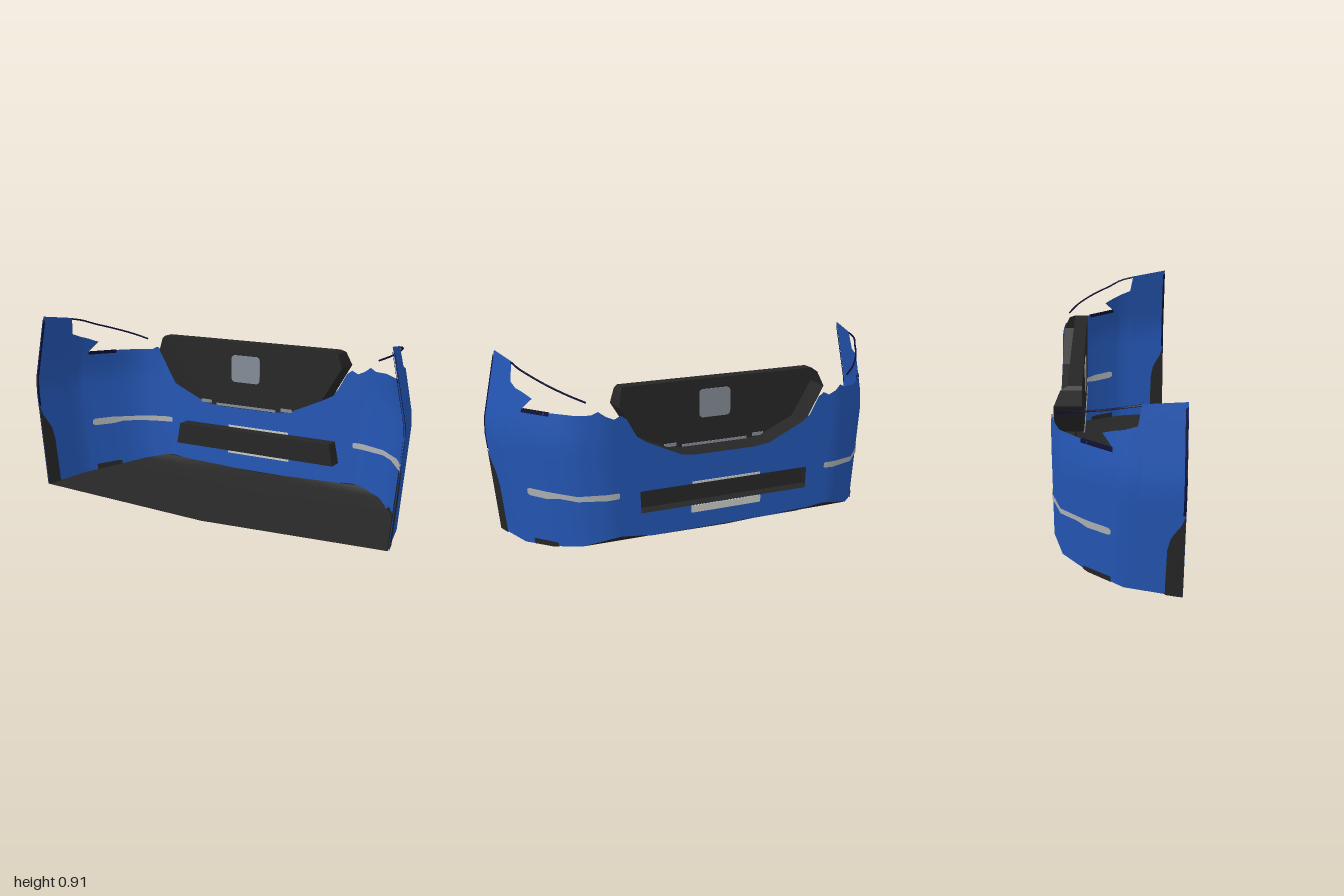
import * as THREE from 'three';

const mat = (name, color) => {
  const m = new THREE.MeshStandardMaterial({ color, side: THREE.DoubleSide });
  m.name = name;
  return m;
};

// Piecewise linear lookup in a list of [key, value], keys ascending
function lerpTable(t, k) {
  if (k <= t[0][0]) return t[0][1];
  for (let i = 1; i < t.length; i++) {
    if (k <= t[i][0]) {
      const f = (k - t[i - 1][0]) / (t[i][0] - t[i - 1][0]);
      return t[i - 1][1] + f * (t[i][1] - t[i - 1][1]);
    }
  }
  return t[t.length - 1][1];
}

// Plan curve (x to z), side bulge (y to x scale) and lower edge (x to y)
const PLAN = [[0, -0.277], [0.6, -0.277], [0.73, -0.235], [0.84, -0.12], [0.94, 0.03], [1, 0.277]];
const BULGE = [[0.04, 0.945], [0.57, 1], [0.92, 0.93]];
const BOTTOM = [[0, 0.105], [0.4, 0.105], [0.55, 0.125], [0.6, 0.12], [0.73, 0.09], [0.84, 0.065], [1, 0.037]];

// Point on the bumper skin, pushed outwards by off
function skin(x, y, side, off = 0) {
  const e = 0.01;
  const dz = lerpTable(PLAN, Math.min(1, x + e)) - lerpTable(PLAN, x - e);
  const dx = Math.min(1, x + e) - (x - e);
  const l = Math.hypot(dx, dz);
  const px = x * lerpTable(BULGE, y) + off * dz / l;
  return new THREE.Vector3(side * px, y, lerpTable(PLAN, x) - off * dx / l);
}

// Surface from rows of equally many points
function gridGeometry(rows) {
  const pos = [], idx = [], n = rows[0].length;
  rows.forEach(r => r.forEach(p => pos.push(p.x, p.y, p.z)));
  for (let i = 0; i < rows.length - 1; i++) {
    for (let j = 0; j < n - 1; j++) {
      const a = i * n + j, b = a + n;
      idx.push(a, b, a + 1, b, b + 1, a + 1);
    }
  }
  const g = new THREE.BufferGeometry();
  g.setAttribute('position', new THREE.Float32BufferAttribute(pos, 3));
  g.setIndex(idx);
  g.computeVertexNormals();
  return g;
}

export function createModel() {
  const root = new THREE.Group();
  root.name = 'frontBumper';
  const blue = mat('bodyBlue', 0x2456b4);
  const navy = mat('edgeNavy', 0x0c0c34);
  const dark = mat('darkPlastic', 0x262626);
  const silver = mat('badgeGrey', 0x858c96);
  const grey = mat('lampGrey', 0xaeb2b4);
  const pale = mat('plateWhite', 0xcacac4);

  const add = (name, geo, m) => {
    const mesh = new THREE.Mesh(geo, m);
    mesh.name = name;
    root.add(mesh);
    return mesh;
  };
  // Piece of skin between columns [x, lowY, highY]
  const panel = (name, m, cols, side, off = 0, steps = 12) =>
    add(name, gridGeometry(cols.map(([x, lo, hi]) =>
      Array.from({ length: steps + 1 }, (_, i) => skin(x, lo + (hi - lo) * i / steps, side, off)))), m);
  // Thin detail seen on both faces of the skin
  const decal = (name, m, cols, side) =>
    [-0.004, 0.004].forEach(off => panel(name, m, cols, side, off, 6));

  const low = x => lerpTable(BOTTOM, x);
  for (const side of [1, -1]) {
    // Painted skin, lowered at the lamp opening and around the grille
    const sideTop = [[1, 0.917], [0.957, 0.893], [0.953, 0.805], [0.94, 0.785], [0.92, 0.775], [0.911, 0.7],
      [0.84, 0.7], [0.785, 0.7], [0.73, 0.7], [0.665, 0.7], [0.635, 0.715], [0.6, 0.692], [0.56, 0.675],
      [0.53, 0.69], [0.5, 0.67], [0.444, 0.585]];
    panel('sideSkin', blue, sideTop.map(([x, t]) => [x, low(x), t]), side);
    const midX = [0.444, 0.4, 0.23, 0.15, 0];
    const midTop = [0.585, 0.555, 0.475, 0.465, 0.465];
    panel('upperCentreSkin', blue, midX.map((x, i) => [x, 0.325, midTop[i]]), side);
    panel('lowerCentreSkin', blue, midX.map(x => [x, low(x), 0.22]), side);
    panel('lampTab', blue, [[0.92, 0.7, 0.775], [0.911, 0.7, 0.77], [0.883, 0.75, 0.751]], side, 0, 2);

    // Thin bar over the lamp opening
    const bar = [[0.957, 0.888], [0.94, 0.873], [0.9, 0.85], [0.84, 0.82], [0.76, 0.785], [0.69, 0.757]];
    const path = new THREE.CatmullRomCurve3(bar.map(([x, y]) => skin(x, y, side)));
    add('lampBar', new THREE.TubeGeometry(path, 16, 0.0045, 5), navy);

    // Edge trim, wheel arch lining and lamp strips
    decal('lampEdge', navy, [[0.911, 0.685, 0.702], [0.82, 0.685, 0.702]], side);
    decal('rearEdge', navy, [[1, 0.45, 0.9], [0.9975, 0.45, 0.89]], side);
    decal('archLining', dark, [[1, 0.037, 0.45], [0.996, 0.037, 0.4], [0.99, 0.037, 0.36],
      [0.986, 0.038, 0.33], [0.983, 0.038, 0.27], [0.982, 0.04, 0.05]], side);
    decal('lowerLip', dark, [[0.905, 0.055, 0.083], [0.84, 0.065, 0.09], [0.82, 0.07, 0.088]], side);
    decal('lampStrip', grey, [[0.905, 0.304, 0.325], [0.897, 0.297, 0.333], [0.84, 0.298, 0.334],
      [0.8, 0.308, 0.332], [0.73, 0.305, 0.33], [0.6, 0.305, 0.334], [0.55, 0.307, 0.334],
      [0.545, 0.312, 0.33]], side);
  }

  // Undertray, rising to the nose and dipping at the middle
  const trayX = [1, 0.94, 0.84, 0.73, 0.6];
  const trayMid = [[-0.277, 0.1], [-0.12, 0.05], [0.277, 0.003]];
  const tray = trayX.map(x => {
    const edge = skin(x, low(x), 1);
    const mid = lerpTable(trayMid, edge.z);
    return Array.from({ length: 13 }, (_, i) => {
      const t = i / 6 - 1;
      return new THREE.Vector3(t * edge.x, mid + (edge.y - mid) * Math.abs(t), edge.z);
    });
  });
  add('undertray', gridGeometry(tray), dark);
  // Small lip joining the undertray to the raised lower edge of the nose
  const lip = [-0.6, -0.55, -0.4, 0, 0.4, 0.55, 0.6].map(x => {
    const p = skin(Math.abs(x), low(Math.abs(x)), Math.sign(x) || 1);
    const q = p.clone();
    q.y = 0.1 + 0.02 * Math.abs(x) / 0.6;
    return [p, q];
  });
  add('noseLip', gridGeometry(lip), dark);

  // Open tray let into the skin: walls from the rim to a back plate
  const recess = (name, outline, rimZ, plateZ) => {
    outline.forEach(([x, y], i) => {
      const [u, v] = outline[(i + 1) % outline.length];
      const V = (a, b, c) => new THREE.Vector3(a, b, c);
      add(name + 'Wall', gridGeometry([
        [V(x, y, rimZ(y)), V(x, y, plateZ)], [V(u, v, rimZ(v)), V(u, v, plateZ)]]), dark);
    });
    const shape = new THREE.Shape(outline.map(([x, y]) => new THREE.Vector2(x, y)));
    add(name + 'Plate', new THREE.ShapeGeometry(shape).translate(0, 0, plateZ), dark);
  };
  const mirrored = half => [...half, ...half.map(([x, y]) => [-x, y]).reverse()];
  recess('grille', mirrored([[0.15, 0.465], [0.24, 0.475], [0.42, 0.555], [0.52, 0.72], [0.5, 0.785], [0.485, 0.8]]),
    y => lerpTable([[0.7, -0.277], [0.785, -0.24], [0.8, -0.21]], y), -0.147);
  recess('intake', mirrored([[0.455, 0.218], [0.435, 0.326]]), () => -0.277, -0.205);

  // Plain badge plate and trim bars on the grille
  const r = 0.02, w = 0.08, h = 0.068;
  const badge = new THREE.Shape();
  badge.absarc(w - r, h - r, r, 0, Math.PI / 2);
  badge.absarc(r - w, h - r, r, Math.PI / 2, Math.PI);
  badge.absarc(r - w, r - h, r, Math.PI, Math.PI * 1.5);
  badge.absarc(w - r, r - h, r, Math.PI * 1.5, Math.PI * 2);
  add('badgePlate', new THREE.ExtrudeGeometry(badge, { depth: 0.008, bevelEnabled: false, curveSegments: 4 })
    .translate(0, 0.667, -0.151), silver);
  const bar = (name, x, y, z, bw, bh, m) =>
    add(name, new THREE.BoxGeometry(bw, bh, 0.008).translate(x, y, z), m);
  bar('grilleTrim', 0, 0.474, -0.147, 0.34, 0.012, silver);
  for (const s of [1, -1]) bar('grilleTrimEnd', s * 0.23, 0.484, -0.147, 0.06, 0.016, silver);

  // Plate holder edges above and below the intake
  bar('plateLower', 0, 0.202, -0.277, 0.36, 0.034, pale);
  bar('plateUpper', 0, 0.331, -0.277, 0.35, 0.01, pale);
  return root;
}
